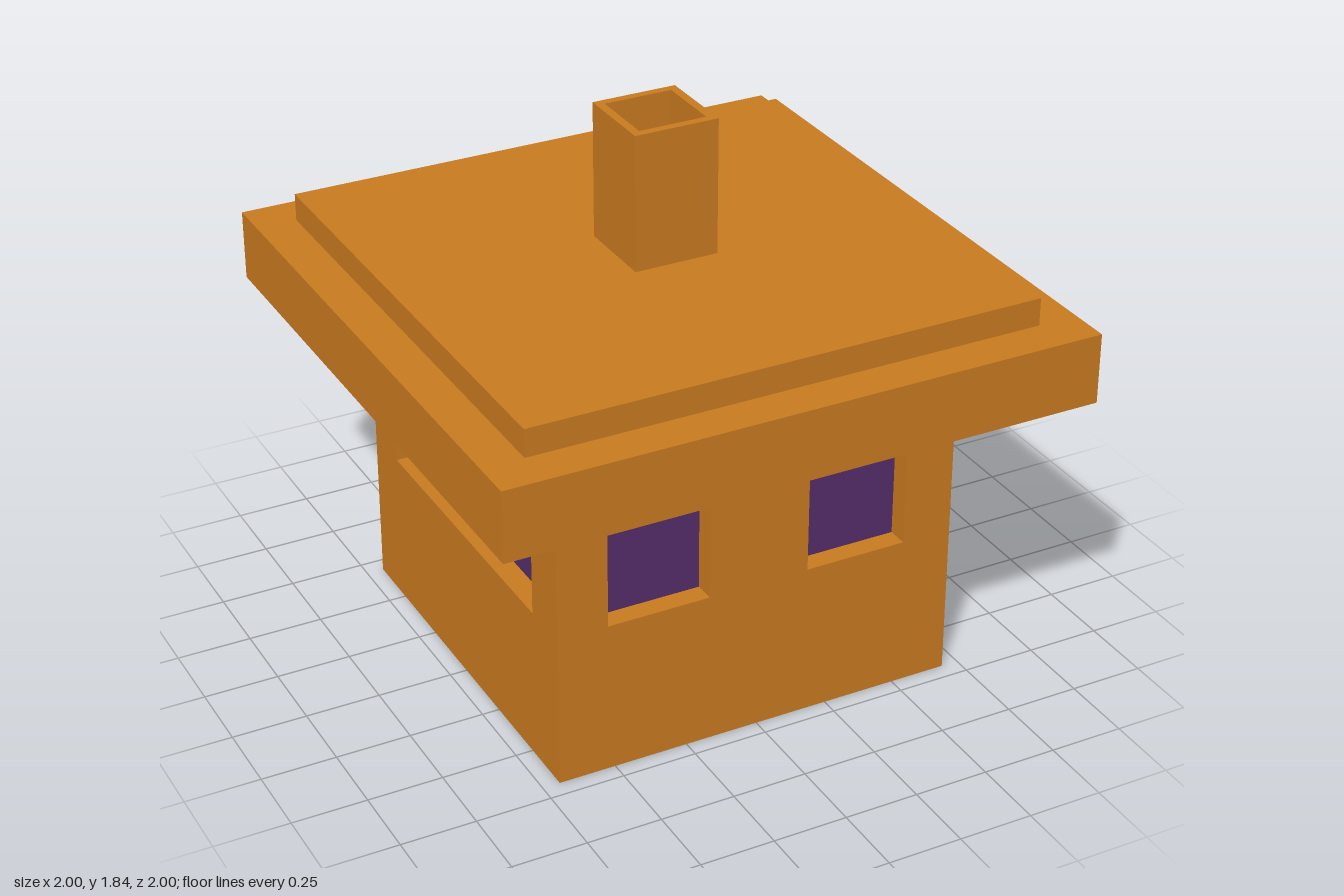
import * as THREE from 'three';

const orange = new THREE.MeshStandardMaterial({ color: 0xc87a20 });
orange.name = 'orange';
const purple = new THREE.MeshStandardMaterial({ color: 0x532d69 });
purple.name = 'purple';

const HALF = 0.692, WALL_TOP = 1.056;

function add(parent, name, geometry, material, x = 0, y = 0, z = 0) {
  const mesh = new THREE.Mesh(geometry, material);
  mesh.name = name;
  mesh.position.set(x, y, z);
  parent.add(mesh);
  return mesh;
}

function rectPath(x0, y0, x1, y1, Type = THREE.Path) {
  return new Type([[x0, y0], [x1, y0], [x1, y1], [x0, y1]].map(p => new THREE.Vector2(...p)));
}

// The four inward-facing sides of a recess, open at front and back
function revealGeometry(w, h, d) {
  const geo = new THREE.BoxGeometry(w, h, d);
  geo.setIndex(Array.from(geo.index.array).slice(0, 24).reverse());
  geo.clearGroups();
  geo.computeVertexNormals();
  return geo;
}

// One outside wall with its recessed openings; angle turns it to face its side
function wall(name, angle, openings) {
  const group = new THREE.Group();
  group.name = name;
  const shape = rectPath(-HALF, 0, HALF, WALL_TOP, THREE.Shape);
  for (const { part, x0, y0, x1, y1, depth } of openings) {
    shape.holes.push(rectPath(x0, y0, x1, y1));
    const w = x1 - x0, h = y1 - y0, x = (x0 + x1) / 2, y = (y0 + y1) / 2;
    add(group, part + 'Reveal', revealGeometry(w, h, depth), orange, x, y, HALF - depth / 2);
    add(group, part + 'Panel', new THREE.PlaneGeometry(w, h), purple, x, y, HALF - depth);
  }
  add(group, name + 'Face', new THREE.ShapeGeometry(shape), orange, 0, 0, HALF);
  group.rotation.y = angle;
  return group;
}

// A pair of square windows, mirrored about the middle of the wall
const windowPair = depth => [-1, 1].map(s => ({
  part: 'window', x0: s * 0.347 - 0.174, x1: s * 0.347 + 0.174, y0: 0.522, y1: 0.868, depth,
}));
const longWindow = { part: 'longWindow', x0: -0.52, x1: 0.52, y0: 0.522, y1: 0.868, depth: 0.075 };
const door = { part: 'door', x0: -0.172, x1: 0.172, y0: 0.004, y1: 0.519, depth: 0.11 };

export function createModel() {
  const house = new THREE.Group();
  house.name = 'house';

  // Walls and floor
  house.add(
    wall('frontWall', 0, windowPair(0.07)),
    wall('leftWall', Math.PI / 2, [longWindow]),
    wall('backWall', Math.PI, [...windowPair(0.26), door]),
    wall('rightWall', -Math.PI / 2, [longWindow]),
  );
  add(house, 'floor', new THREE.PlaneGeometry(HALF * 2, HALF * 2).rotateX(Math.PI / 2), orange);

  // Stepped flat roof
  add(house, 'roofSlab', new THREE.BoxGeometry(2, 0.236, 2), orange, 0, 1.174, 0);
  add(house, 'roofStep', new THREE.BoxGeometry(1.728, 0.093, 1.728), orange, 0, 1.3385, 0);

  // Hollow chimney
  const flue = rectPath(-0.143, -0.143, 0.143, 0.143, THREE.Shape);
  flue.holes.push(rectPath(-0.115, -0.115, 0.115, 0.115));
  const chimney = new THREE.ExtrudeGeometry(flue, { depth: 0.457, bevelEnabled: false });
  add(house, 'chimney', chimney.rotateX(-Math.PI / 2), orange, 0, 1.385, 0);
  add(house, 'flueBottom', new THREE.PlaneGeometry(0.23, 0.23).rotateX(-Math.PI / 2), purple, 0, 1.395, 0);

  return house;
}
